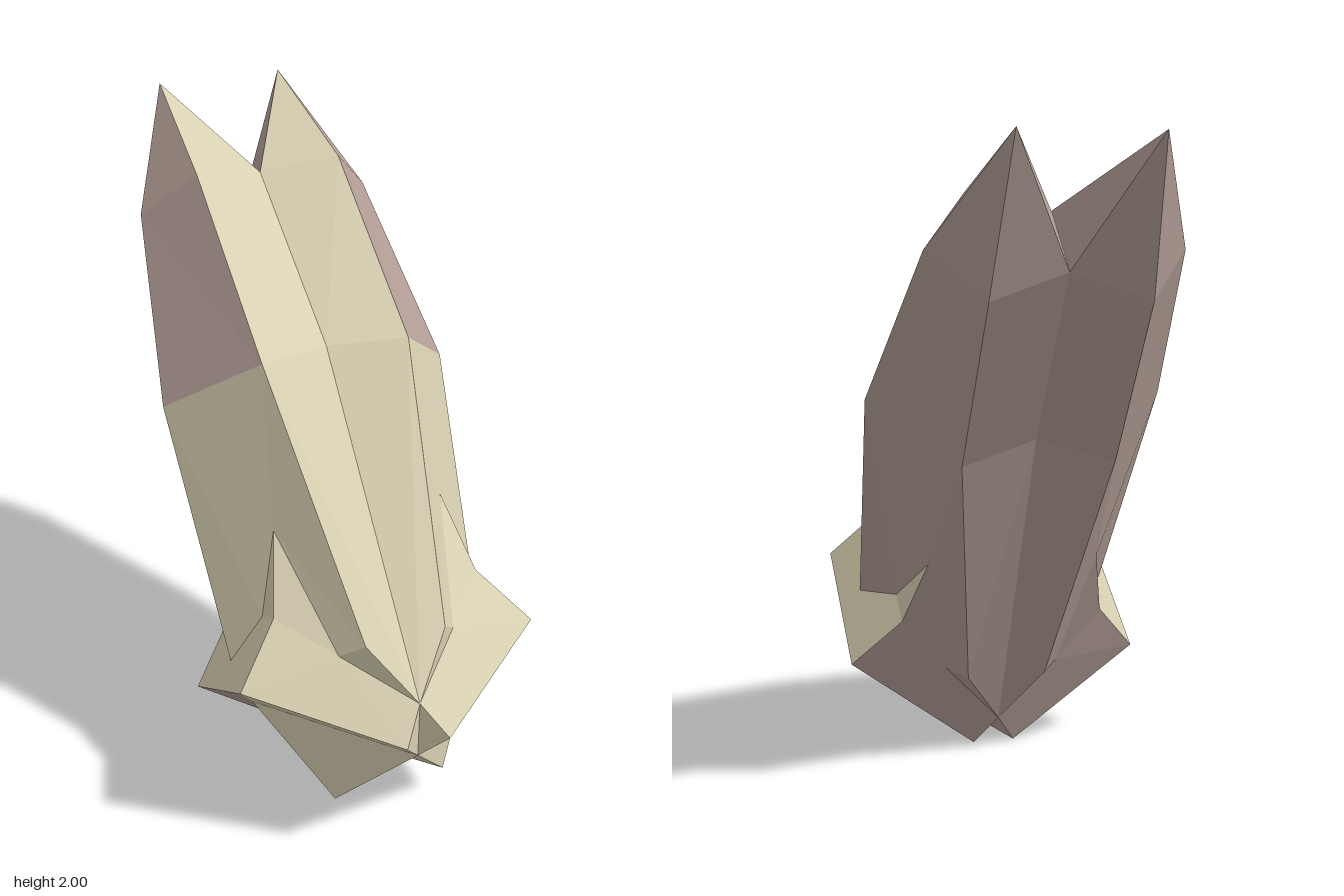
import * as THREE from 'three';

// Points of the left half, on the front of the tilted body
const front = {
  // body: centre groove, ridge, side edge, tip
  c0: [0, 0.57, 0.80], c1: [0, 1.42, 0.07], c2: [0, 1.79, -0.49],
  r0: [0.13, 0.74, 0.69], r1: [0.24, 1.44, 0.15], r2: [0.24, 1.84, -0.41],
  s0: [0.43, 0.52, 0.33], s1: [0.48, 1.22, -0.10], s2: [0.39, 1.68, -0.55],
  tip: [0.21, 2.0, -0.87],
  // collar: leaf point and its neighbours, corner, lower lip
  p: [0.28, 0.97, 0.33], a: [0.34, 0.76, 0.48], b: [0.34, 0.70, 0.38],
  d: [0.19, 0.68, 0.63], m: [0.49, 0.60, 0.59], e: [0.07, 0.47, 0.87],
  // base: centre, side, foot point
  f: [0, 0.37, 0.80], g: [0.39, 0.405, 0.41], h: [0.19, 0.10, 0.61],
};

// The back repeats the front across the tilted middle plane
const NY = 0.56, NZ = 0.83, OFFSET = 0.566;
const reflect = ([x, y, z]) => {
  const k = 2 * (y * NY + z * NZ - OFFSET);
  return [x, y - k * NY, z - k * NZ];
};
const back = {};
for (const k in front) back[k] = reflect(front[k]);
// Points on the middle plane are shared, and the upper body bends backwards
for (const k of ['s0', 's1', 's2', 'tip', 'g', 'h']) back[k] = front[k];
Object.assign(back, {
  r0: [0.13, 0.28, 0],
  r1: [0.24, 1.04, -0.38], r2: [0.24, 1.54, -0.70],
  c1: [0, 1.11, -0.34], c2: [0, 1.62, -0.67],
});

// Faces are listed as corner names; a trailing ' means the back point
const point = (name, set) => (name.endsWith("'") ? back[name.slice(0, -1)] : set[name]);

function faces(list, set, flip) {
  const out = [];
  const tri = (a, b, c) => out.push(...a, ...b, ...c);
  const mirror = ([x, y, z]) => [-x, y, z];
  for (const face of list) {
    const q = face.split(' ').map((n) => point(n, set));
    if (flip) q.reverse();
    for (let i = 1; i < q.length - 1; i++) {
      tri(q[0], q[i], q[i + 1]);
      tri(mirror(q[0]), mirror(q[i + 1]), mirror(q[i]));
    }
  }
  return out;
}

const bodyCentre = ['c0 r0 r1 c1', 'c1 r1 r2 c2', 'c2 r2 tip'];
const bodyLowerSide = ['c0 d r0', 'r0 d p', 'r0 p r1', 'r1 p s1', 'p b s1', 'b s0 s1'];
const bodyUpperSide = ['r1 s1 s2 r2', 'r2 s2 tip'];
const notch = ["c2 tip c2'"];
const collarLeaf = ['d a p', 'd m a', 'd e m', 'd c0 e'];
const collarSide = ['p a b', 'a m s0 b'];
const collarMiddle = ["m m' s0"];
const lip = ['c0 f e', 'e f g m'];
const lipMiddle = ["m g m'"];
const foot = ['f h g'];
const footInside = ["f f' h"];

export function createModel() {
  const group = new THREE.Group();
  const cream = new THREE.MeshStandardMaterial({ color: 0xd8d0b2, flatShading: true });
  cream.name = 'cream';
  const mauve = new THREE.MeshStandardMaterial({ color: 0xb5a098, flatShading: true });
  mauve.name = 'mauve';

  const add = (name, list, material, isBack = false) => {
    const geometry = new THREE.BufferGeometry();
    const data = faces(list, isBack ? back : front, isBack);
    geometry.setAttribute('position', new THREE.Float32BufferAttribute(data, 3));
    geometry.computeVertexNormals();
    const mesh = new THREE.Mesh(geometry, material);
    mesh.name = name;
    group.add(mesh);
  };

  // Body
  add('bodyFront', [...bodyCentre, ...bodyLowerSide], cream);
  add('bodyUpperSides', bodyUpperSide, mauve);
  add('bodyBack', [...bodyCentre, ...bodyLowerSide, ...bodyUpperSide], mauve, true);
  add('tipNotch', notch, mauve);

  // Collar
  add('collarFront', collarLeaf, cream);
  add('collarBack', collarLeaf, mauve, true);
  add('collarSidesFront', [...collarSide, ...collarMiddle], cream);
  add('collarSidesBack', collarSide, cream, true);

  // Underside
  add('lipFront', lip, cream);
  add('lipBack', [...lip], mauve, true);
  add('lipSides', lipMiddle, mauve);
  add('footFront', [...foot, ...footInside], cream);
  add('footBack', foot, mauve, true);
  return group;
}
